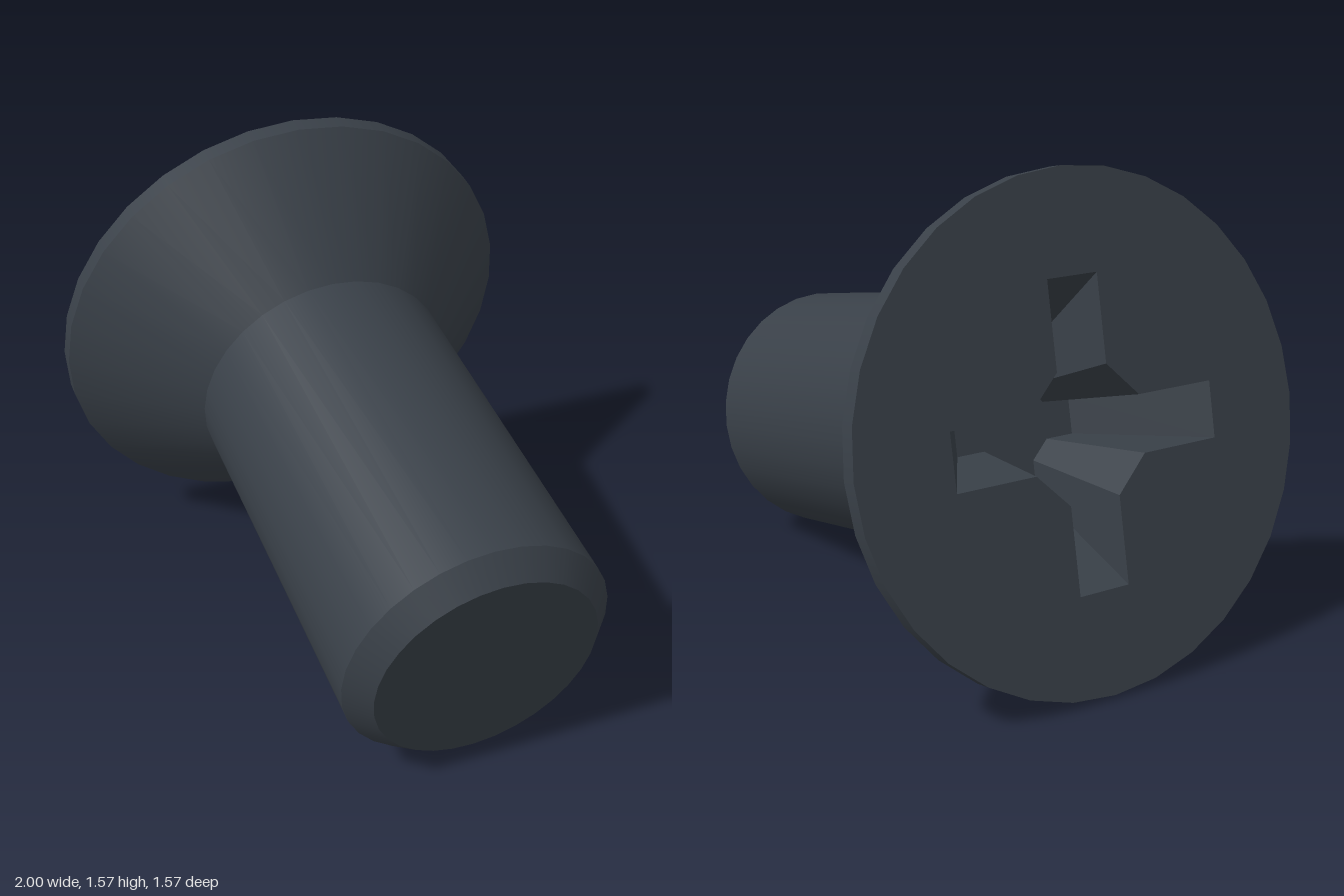
import * as THREE from 'three';

const SIDES = 32;
const HEAD_R = 0.798, SHAFT_R = 0.433, TIP_R = 0.362;
const RIM = 0.057, NECK = 0.42, CHAMFER = 1.66, LENGTH = 1.735;

// Cross outline, counter-clockwise: arm reach, half width, corner cut
function crossOutline(reach, half, cut) {
  const pts = [];
  for (let i = 0; i < 4; i++) {
    for (const [x, y] of [[reach, -half], [reach, half], [cut, half], [half, cut]]) {
      pts.push(new THREE.Vector2(x, y).rotateAround(new THREE.Vector2(), i * Math.PI / 2));
    }
  }
  return pts;
}

// Inward-facing walls between two matching outlines
function recessWalls(top, bottom, depth) {
  const pos = [];
  top.forEach((a, i) => {
    const j = (i + 1) % top.length;
    const b = top[j], c = bottom[j], d = bottom[i];
    pos.push(a.x, a.y, 0, b.x, b.y, 0, c.x, c.y, -depth);
    pos.push(a.x, a.y, 0, c.x, c.y, -depth, d.x, d.y, -depth);
  });
  const geo = new THREE.BufferGeometry();
  geo.setAttribute('position', new THREE.Float32BufferAttribute(pos, 3));
  geo.computeVertexNormals();
  return geo;
}

export function createModel() {
  const steel = new THREE.MeshStandardMaterial({ color: 0x394048 });
  steel.name = 'darkSteel';
  const screw = new THREE.Group();
  screw.name = 'screw';
  const add = (name, geo) => {
    const mesh = new THREE.Mesh(geo, steel);
    mesh.name = name;
    screw.add(mesh);
    return mesh;
  };

  // Turned bands, each separate so the edges between them stay sharp
  const bands = [
    ['headRim', HEAD_R, 0, HEAD_R, RIM],
    ['headCone', HEAD_R, RIM, SHAFT_R, NECK],
    ['shaft', SHAFT_R, NECK, SHAFT_R, CHAMFER],
    ['tipChamfer', SHAFT_R, CHAMFER, TIP_R, LENGTH],
    ['tipEnd', TIP_R, LENGTH, 0, LENGTH],
  ];
  for (const [name, r0, t0, r1, t1] of bands) {
    add(name, new THREE.LatheGeometry(
      [new THREE.Vector2(r1, -t1), new THREE.Vector2(r0, -t0)], SIDES));
  }

  // Head face with the cross recess cut through it
  const depth = 0.4;
  const mouth = crossOutline(0.475, 0.09, 0.2);
  const base = crossOutline(0.22, 0.06, 0.12);
  const disc = [];
  for (let i = 0; i < SIDES; i++) {
    const a = i / SIDES * Math.PI * 2;
    disc.push(new THREE.Vector2(Math.cos(a) * HEAD_R, Math.sin(a) * HEAD_R));
  }
  const face = new THREE.Shape(disc);
  face.holes.push(new THREE.Path(mouth));
  add('headFace', new THREE.ShapeGeometry(face).rotateX(-Math.PI / 2));

  // Tapered recess and its floor
  add('recessWalls', recessWalls(mouth, base, depth).rotateX(-Math.PI / 2));
  add('recessFloor', new THREE.ShapeGeometry(new THREE.Shape(base)).rotateX(-Math.PI / 2))
    .position.y = -depth;

  // Lay the screw down, resting on the head rim and the tip
  const up = new THREE.Vector3(-0.955, 0.219, -0.2).normalize();
  const right = new THREE.Vector3(0.2, 0, -0.955).normalize();
  const out = new THREE.Vector3().crossVectors(right, up);
  screw.quaternion.setFromRotationMatrix(new THREE.Matrix4().makeBasis(right, up, out));
  screw.position.set(-0.763, 0.786, -0.006);

  const model = new THREE.Group();
  model.name = 'countersunkScrew';
  model.add(screw);
  return model;
}
